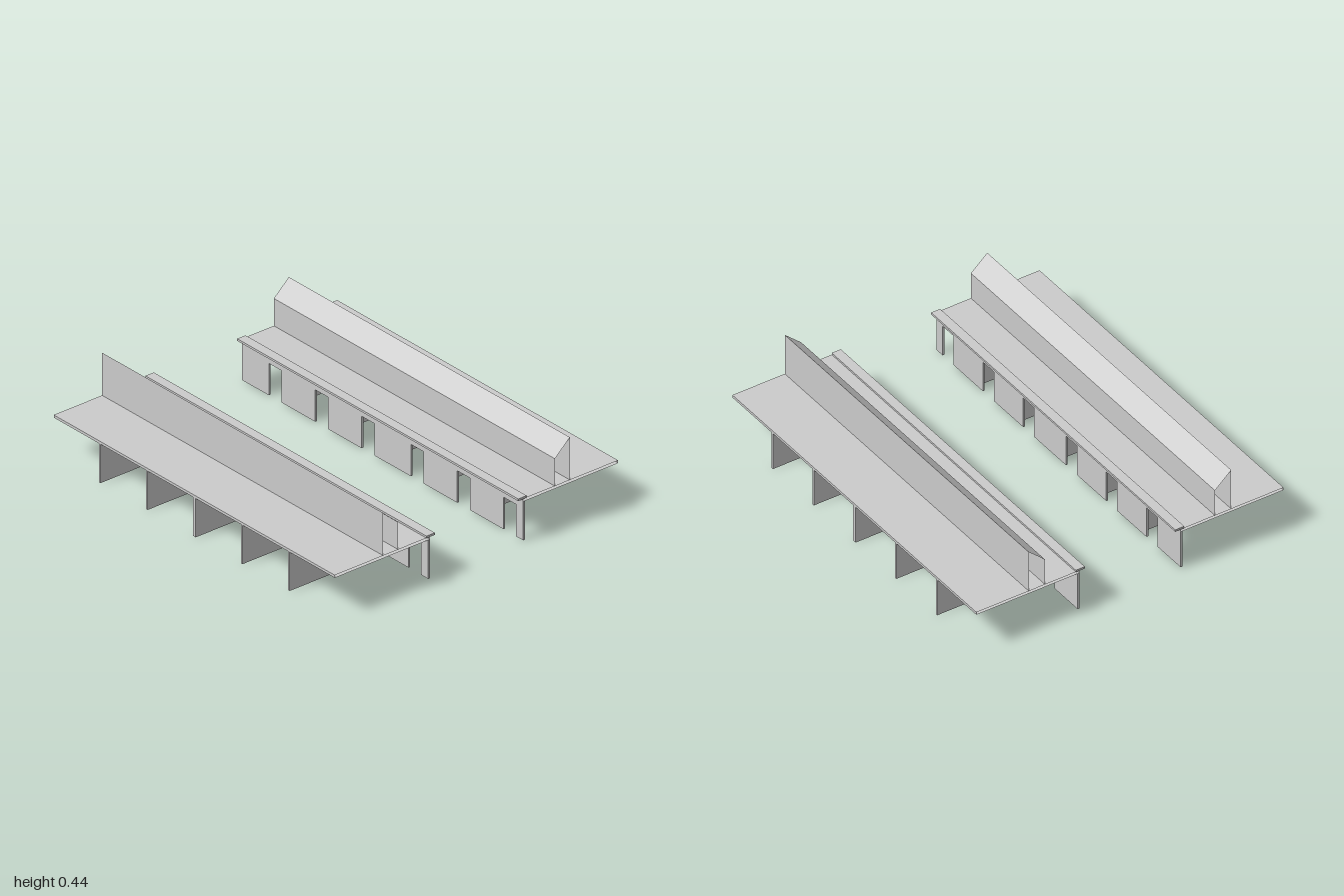
import * as THREE from 'three';

const material = new THREE.MeshStandardMaterial({ color: 0xcccccc, flatShading: true, side: THREE.DoubleSide });

function add(parent, name, geometry, x = 0, y = 0, z = 0) {
  const mesh = new THREE.Mesh(geometry, material);
  mesh.name = name;
  mesh.position.set(x, y, z);
  parent.add(mesh);
  return mesh;
}

// Sweeps an x/y outline along the full length, leaving both ends open
function openSweep(points, side, half = 1) {
  const v = [];
  for (let i = 0; i + 1 < points.length; i++) {
    const [ax, ay] = points[i];
    const [bx, by] = points[i + 1];
    const a = [ax * side, ay], b = [bx * side, by];
    const [p, q] = side > 0 ? [a, b] : [b, a];
    v.push(...p, -half, ...p, half, ...q, half, ...p, -half, ...q, half, ...q, -half);
  }
  const g = new THREE.BufferGeometry();
  g.setAttribute('position', new THREE.Float32BufferAttribute(v, 3));
  g.computeVertexNormals();
  return g;
}

const SLAB_BOTTOM = 0.203, SLAB_TOP = 0.217;
const DOOR_HALF = 0.045, DOOR_TOP = 0.167;
const doors = [-0.905, -0.575, -0.245, 0.105, 0.435, 0.765]; // along -z
const dividers = [[0.673, 0.012], [0.338, 0.012], [0, 0.02], [-0.338, 0.012], [-0.673, 0.012]];

// Long wall whose doorways are open at the bottom
function doorWallGeometry(thickness) {
  const s = new THREE.Shape();
  s.moveTo(-1, 0);
  for (const d of doors) {
    s.lineTo(d - DOOR_HALF, 0);
    s.lineTo(d - DOOR_HALF, DOOR_TOP);
    s.lineTo(d + DOOR_HALF, DOOR_TOP);
    s.lineTo(d + DOOR_HALF, 0);
  }
  s.lineTo(1, 0);
  s.lineTo(1, SLAB_BOTTOM);
  s.lineTo(-1, SLAB_BOTTOM);
  const g = new THREE.ExtrudeGeometry(s, { depth: thickness, bevelEnabled: false });
  g.translate(0, 0, -thickness / 2);
  g.rotateY(Math.PI / 2);
  return g;
}

function createBlock(side) {
  const block = new THREE.Group();
  block.name = side > 0 ? 'leftBlock' : 'rightBlock';

  // Ground floor: inner wall with doorways, and cross walls between the bays
  add(block, 'doorWall', doorWallGeometry(0.01), side * 0.285);
  for (const [z, t] of dividers) {
    add(block, 'crossWall', new THREE.BoxGeometry(0.56, SLAB_BOTTOM, t), side * 0.57, SLAB_BOTTOM / 2, z);
  }

  // Floor slab, open at its ends
  add(block, 'floorSlab', openSweep([
    [0.28, SLAB_BOTTOM], [0.85, SLAB_BOTTOM], [0.85, SLAB_TOP], [0.28, SLAB_TOP], [0.28, SLAB_BOTTOM],
  ], side));

  // Raised lip along the inner edge
  add(block, 'edgeLip', new THREE.BoxGeometry(0.05, 0.011, 2), side * 0.275, 0.2215);

  // Upper storey: tall outer wall, sloping roof and low inner wall
  add(block, 'upperOuterWall', openSweep([[0.56, SLAB_TOP], [0.56, 0.44]], side));
  add(block, 'slopingRoof', openSweep([[0.56, 0.44], [0.47, 0.36]], side));
  add(block, 'upperInnerWall', openSweep([[0.47, 0.36], [0.47, SLAB_TOP]], side));
  return block;
}

export function createModel() {
  const model = new THREE.Group();
  model.name = 'facingTerraces';
  for (const side of [1, -1]) model.add(createBlock(side));
  return model;
}
